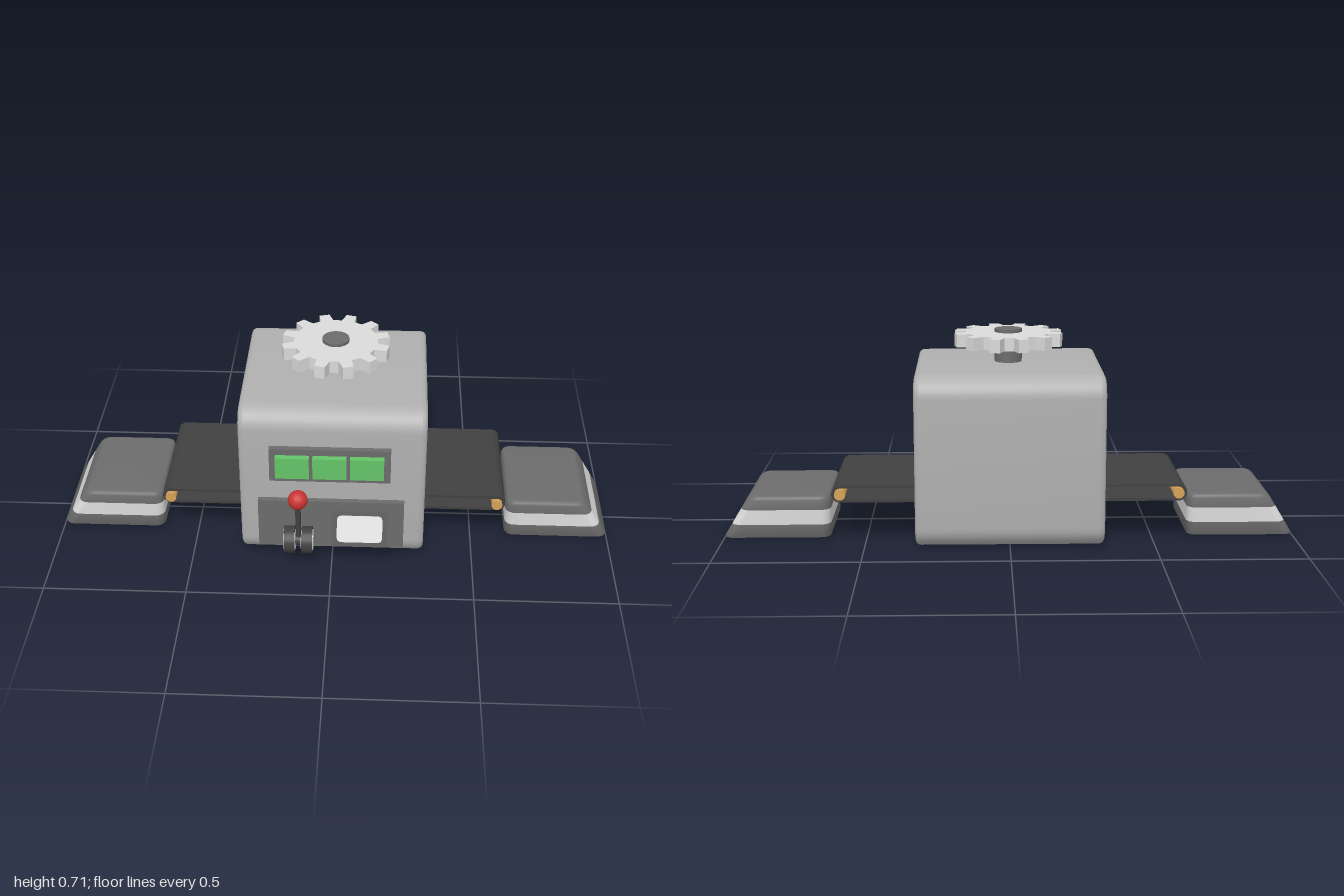
import * as THREE from 'three';
import { mergeGeometries, toCreasedNormals } from 'three/addons/utils/BufferGeometryUtils.js';

const mat = (name, color) => new THREE.MeshStandardMaterial({ name, color });

// Counter-clockwise rounded rectangle, n segments per corner
function roundRect(x0, x1, y0, y1, r, n = 6) {
  const pts = [];
  const corners = [[x1 - r, y0 + r, -0.5], [x1 - r, y1 - r, 0], [x0 + r, y1 - r, 0.5], [x0 + r, y0 + r, 1]];
  for (const [cx, cy, q] of corners) {
    for (let i = 0; i <= n; i++) {
      const a = (q + 0.5 * i / n) * Math.PI;
      pts.push(new THREE.Vector2(cx + r * Math.cos(a), cy + r * Math.sin(a)));
    }
  }
  return pts;
}

// Skin over rings {t, pts} stacked along z, optionally closed at the first and last ring
function loft(rings, capStart = false, capEnd = false) {
  const n = rings[0].pts.length, pos = [], idx = [];
  for (const { t, pts } of rings) for (const p of pts) pos.push(p.x, p.y, t);
  for (let i = 0; i < rings.length - 1; i++) {
    for (let j = 0; j < n; j++) {
      const a = i * n + j, b = i * n + (j + 1) % n;
      idx.push(a, b, b + n, a, b + n, a + n);
    }
  }
  const last = (rings.length - 1) * n;
  for (let j = 1; j < n - 1; j++) {
    if (capStart) idx.push(0, j + 1, j);
    if (capEnd) idx.push(last, last + j, last + j + 1);
  }
  const g = new THREE.BufferGeometry();
  g.setAttribute('position', new THREE.Float32BufferAttribute(pos, 3));
  g.setIndex(idx);
  return toCreasedNormals(g, 0.7);
}

const extrude = (shape, depth, curveSegments = 10) =>
  toCreasedNormals(new THREE.ExtrudeGeometry(shape, { depth, bevelEnabled: false, curveSegments }), 0.6);

export function createModel() {
  const model = new THREE.Group();
  model.name = 'conveyorMachine';
  const housing = mat('housingGrey', 0xb0b0b0);
  const light = mat('lightGrey', 0xdadada);
  const dark = mat('darkGrey', 0x6c6c6c);
  const black = mat('charcoal', 0x404040);
  const green = mat('buttonGreen', 0x64c468);
  const red = mat('knobRed', 0xcc3434);
  const brass = mat('rollerBrass', 0xd6a258);

  function add(name, geo, material, x = 0, y = 0, z = 0, parent = model) {
    const m = new THREE.Mesh(geo, material);
    m.name = name;
    m.position.set(x, y, z);
    parent.add(m);
    return m;
  }
  // Box given by its limits
  const box = (name, m, x0, x1, y0, y1, z0, z1) =>
    add(name, new THREE.BoxGeometry(x1 - x0, y1 - y0, z1 - z0), m, (x0 + x1) / 2, (y0 + y1) / 2, (z0 + z1) / 2);

  // Housing: rounded shell along x with softened ends, and a tunnel through it
  const half = 0.325, bevel = 0.02;
  const outline = k => roundRect(-0.27 + k, 0.38 - k, k, 0.598 - k, 0.075 - k, 8);
  const rings = [];
  for (const s of [-1, 1]) {
    for (let i = 0; i <= 5; i++) {
      const a = (s < 0 ? i : 5 - i) / 5 * Math.PI / 2;
      rings.push({ t: s * (half - bevel + bevel * Math.cos(a)), pts: outline(bevel * (1 - Math.sin(a))) });
    }
  }
  const core = new THREE.Shape(outline(bevel));
  core.holes.push(new THREE.Path(roundRect(-0.166, 0.274, 0.14, 0.466, 0.001, 1).reverse()));
  const coreGeo = extrude(core, 2 * half).translate(0, 0, -half);
  coreGeo.deleteAttribute('uv');
  add('housing', mergeGeometries([loft(rings), coreGeo]).rotateY(Math.PI / 2), housing);

  // Conveyor belt: hollow stadium loop
  const stadium = (Type, r) => {
    const s = new Type();
    s.absarc(0.587, 0, r, -Math.PI / 2, Math.PI / 2, false);
    s.absarc(-0.587, 0, r, Math.PI / 2, Math.PI * 1.5, false);
    s.closePath();
    return s;
  };
  const belt = stadium(THREE.Shape, 0.03);
  belt.holes.push(stadium(THREE.Path, 0.02));
  add('belt', extrude(belt, 0.44), black, 0, 0.171, -0.274);

  // Belt rollers
  for (const s of [-1, 1]) {
    add('roller', new THREE.CylinderGeometry(0.0195, 0.0195, 0.466, 16).rotateX(Math.PI / 2), brass, s * 0.587, 0.171, -0.054);
  }

  // End ramps: three stacked bands with a sloping outer side
  const ring = (t, k = 0) => {
    const outer = 1 - 0.09 * (t - 0.006) / 0.148;
    return { t, pts: roundRect(0.625 + k, outer - k, -0.133 + k, 0.243 - k, 0.035 - k) };
  };
  for (const s of [-1, 1]) {
    const ramp = new THREE.Group();
    ramp.name = s > 0 ? 'leftRamp' : 'rightRamp';
    model.add(ramp);
    const band = (name, m, list, a, b) => {
      const g = loft(list, a, b).rotateX(-Math.PI / 2);
      if (s < 0) g.translate(-0.8125, 0, 0.055).rotateY(Math.PI).translate(-0.8125, 0, -0.055);
      add(name, g, m, 0, 0, 0, ramp);
    };
    band('rampBase', dark, [ring(0.006, 0.002), ring(0.01), ring(0.053)], true, false);
    band('rampStripe', light, [ring(0.053), ring(0.106)], false, false);
    band('rampTop', dark, [ring(0.106), ring(0.14), ring(0.148, 0.003), ring(0.153, 0.009), ring(0.154, 0.016)], false, true);
  }

  // Gear on its shaft
  const teeth = [];
  for (let i = 0; i < 12; i++) {
    for (const [deg, r] of [[-9, 0.149], [-5.5, 0.192], [5.5, 0.192], [9, 0.149]]) {
      const a = (i * 30 + 15 + deg) * Math.PI / 180;
      teeth.push(new THREE.Vector2(r * Math.cos(a), r * Math.sin(a)));
    }
  }
  add('gear', extrude(new THREE.Shape(teeth), 0.046).rotateX(-Math.PI / 2), light, 0, 0.657, -0.055);
  add('gearShaft', new THREE.CylinderGeometry(0.048, 0.048, 0.125, 16), dark, 0, 0.652, -0.054);

  // Button panel
  box('buttonPanel', dark, -0.217, 0.203, 0.335, 0.467, 0.26, 0.29);
  for (let i = 0; i < 3; i++) {
    const x = -0.195 + i * 0.129;
    box('button', green, x, x + 0.117, 0.36, 0.443, 0.28, 0.312);
  }

  // Control panel with a slanted display
  box('controlPanel', dark, -0.26, 0.253, 0.057, 0.25, 0.26, 0.29);
  const wedge = new THREE.Shape([[-0.35, 0.102], [-0.28, 0.102], [-0.28, 0.211], [-0.29, 0.211]].map(p => new THREE.Vector2(...p)));
  add('displayCase', extrude(wedge, 0.197).rotateY(Math.PI / 2), black);
  const screen = new THREE.Shape(roundRect(-0.08, 0.08, -0.047, 0.047, 0.014, 2));
  add('displayScreen', extrude(screen, 0.004), light, 0.0985, 0.1565, 0.32).rotation.x = -0.503;

  // Lever between two wheels
  const lever = new THREE.Group();
  lever.name = 'lever';
  lever.position.set(-0.116, 0.117, 0.336);
  model.add(lever);
  const disc = (r, w) => new THREE.CylinderGeometry(r, r, w, 20).rotateZ(Math.PI / 2);
  for (const s of [-1, 1]) {
    add('leverWheel', disc(0.048, 0.038), black, s * 0.031, 0, 0, lever);
    add('wheelFace', disc(0.037, 0.042), light, s * 0.031, 0, 0, lever);
  }
  add('leverHub', disc(0.02, 0.03), black, 0, 0, 0, lever);
  add('leverStick', new THREE.CylinderGeometry(0.01, 0.01, 0.17, 10), black, 0, 0.075, 0, lever);
  add('leverKnob', new THREE.SphereGeometry(0.035, 14, 10), red, 0, 0.171, 0, lever);

  return model;
}
